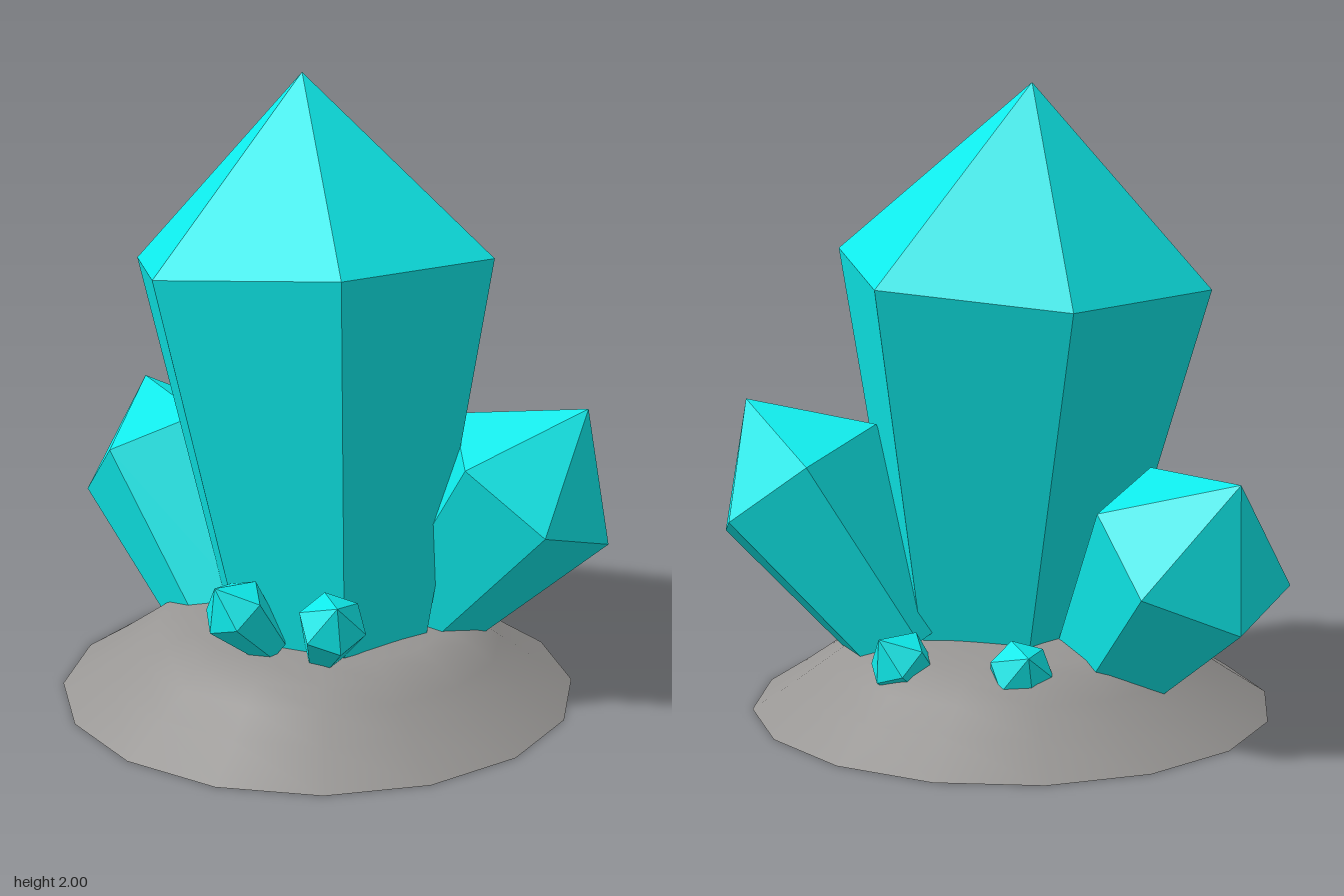
import * as THREE from 'three';

const crystalMaterial = new THREE.MeshStandardMaterial({ color: 0x0eeaea, flatShading: true });
const rockMaterial = new THREE.MeshStandardMaterial({ color: 0x989694 });

const profile = (points) => points.map(([r, y]) => new THREE.Vector2(r, y));

// Six-sided crystal of unit shoulder radius, with the shoulder at y = 0
const crystalGeometry = new THREE.LatheGeometry(
  profile([[0, -2], [0.56, -2], [1, 0], [0, 0.96]]), 6);

// Places a crystal by its shoulder centre, lean and radius; one corner points towards `corner`
function crystal(name, centre, axis, radius, corner = [1, 0, 0]) {
  const up = new THREE.Vector3(...axis).normalize();
  const out = new THREE.Vector3(...corner).projectOnPlane(up).normalize();
  const side = new THREE.Vector3().crossVectors(up, out);
  const mesh = new THREE.Mesh(crystalGeometry, crystalMaterial);
  mesh.name = name;
  mesh.quaternion.setFromRotationMatrix(new THREE.Matrix4().makeBasis(side, up, out));
  mesh.position.set(...centre);
  mesh.scale.setScalar(radius);
  return mesh;
}

export function createModel() {
  const model = new THREE.Group();
  model.name = 'crystalCluster';

  // Smooth rock mound with a flat underside
  const mound = new THREE.Mesh(new THREE.LatheGeometry(profile([
    [0.84, 0], [0.7, 0.09], [0.6, 0.16], [0.53, 0.21], [0.44, 0.243], [0.28, 0.264], [0, 0.27],
  ]), 16), rockMaterial);
  mound.name = 'rockMound';

  const underside = new THREE.Mesh(new THREE.CircleGeometry(0.84, 16), rockMaterial);
  underside.name = 'rockUnderside';
  underside.rotation.x = Math.PI / 2;
  model.add(mound, underside);

  // Large crystals
  model.add(
    crystal('mainCrystal', [-0.045, 1.42, -0.05], [-0.08, 1, -0.08], 0.607),
    crystal('leftCrystal', [0.66, 0.735, -0.17], [0.585, 0.81, 0], 0.322),
    crystal('rightCrystal', [-0.66, 0.617, -0.315], [-0.52, 0.755, -0.405], 0.322, [-0.27, -0.122, 0.125]),
  );

  // Small crystals around the foot
  model.add(
    crystal('smallFrontRightCrystal', [-0.1, 0.42, 0.465], [-0.35, 0.75, 0.55], 0.107),
    crystal('smallFrontLeftCrystal', [0.23, 0.415, 0.465], [0.36, 0.72, 0.57], 0.107),
    crystal('smallBackLeftCrystal', [0.24, 0.25, -0.455], [0.4, 0.7, -0.55], 0.1),
    crystal('smallBackRightCrystal', [-0.16, 0.24, -0.45], [-0.4, 0.6, -0.68], 0.1),
  );
  return model;
}
